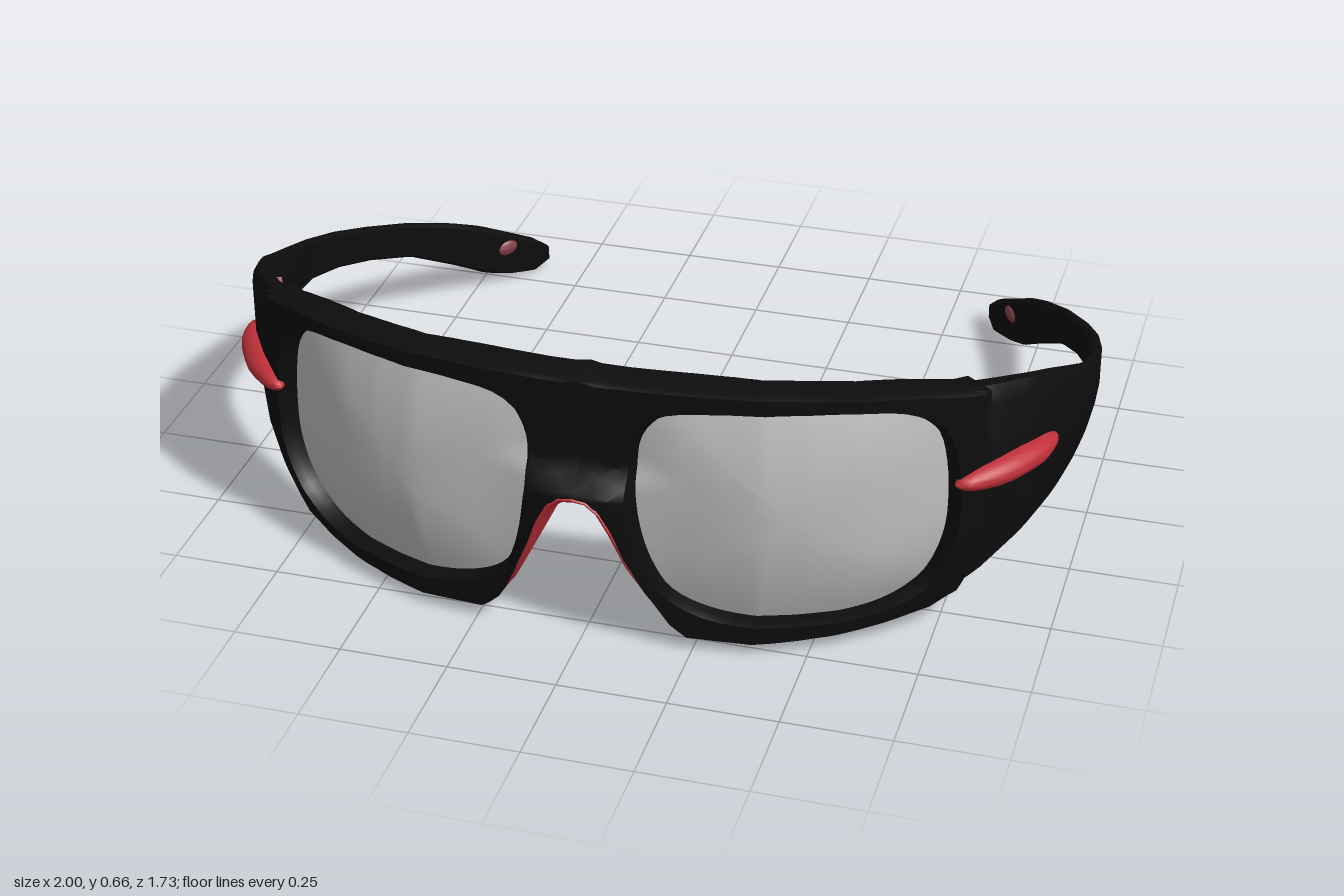
import * as THREE from 'three';
import { toCreasedNormals } from 'three/addons/utils/BufferGeometryUtils.js';

const paint = (name, color, side = THREE.FrontSide) => {
  const m = new THREE.MeshStandardMaterial({ color, side });
  m.name = name;
  return m;
};

// Stations from the bridge round to the ear tip: x, z, top y, bottom y, thickness
const stations = [
  [0, .81, .66, .40, .1], [.045, .81, .66, .385, .1], [.08, .81, .66, .33, .1], [.11, .809, .66, .25, .1],
  [.15, .808, .66, .16, .1], [.2, .805, .66, .07, .1], [.24, .80, .66, .035, .1], [.4, .78, .66, .03, .09],
  [.5, .745, .655, .035, .09], [.6, .70, .645, .04, .09], [.7, .64, .635, .048, .09], [.8, .565, .615, .06, .085],
  [.86, .49, .60, .09, .075], [.92, .39, .575, .155, .06], [.96, .29, .545, .21, .045], [.985, .2, .51, .26, .035],
  [.998, .12, .475, .29, .03], [1, 0, .435, .30, .025], [.995, -.1, .405, .297, .025], [.97, -.22, .37, .272, .025],
  [.93, -.34, .33, .237, .025], [.87, -.47, .285, .19, .025], [.8, -.6, .23, .11, .028], [.75, -.69, .185, .05, .035],
  [.7, -.76, .14, .02, .035], [.65, -.82, .10, .005, .03], [.62, -.862, .06, .02, .02],
];

// Distance along the plan curve at every station
const dist = [0];
for (let i = 1; i < stations.length; i++) {
  const [a, b] = [stations[i - 1], stations[i]];
  dist.push(dist[i - 1] + Math.hypot(b[0] - a[0], b[1] - a[1]));
}
const sEnd = dist[dist.length - 1];
const lerp = THREE.MathUtils.lerp, clamp = THREE.MathUtils.clamp;

function at(s) {
  s = clamp(s, 0, sEnd);
  let i = 1;
  while (i < dist.length - 1 && dist[i] < s) i++;
  const t = (s - dist[i - 1]) / (dist[i] - dist[i - 1]);
  return stations[i].map((v, c) => lerp(stations[i - 1][c], v, t));
}
function findS(test) {
  let s = 0;
  while (s < sEnd && !test(at(s))) s += .001;
  return s;
}
const sOfX = (x) => findS((p) => p[0] >= x);
const sOfZ = (z) => findS((p) => p[1] <= z);

// Wraps (distance along, height, depth inward) round the plan curve
function bend(s, y, d) {
  const [x, z, , , T] = at(s), a = at(s - .04), b = at(s + .04);
  const tx = b[0] - a[0], tz = b[1] - a[1], l = Math.hypot(tx, tz);
  let px = x + tz / l * d;
  let pz = z - tx / l * d;
  if (z > 0) px -= .1 * x * x * clamp((.3 - y) / .25, 0, 1) ** 2;
  // raised rim over the nose
  pz += .055 * Math.exp(-((s / .15) ** 4)) * (1 - THREE.MathUtils.smoothstep(y, .4, .46)) * clamp(1 - d / T, 0, 1);
  return [px, y, pz];
}

function grid(rows, cols, point, closeRows, closeCols) {
  const pos = [], index = [];
  for (let i = 0; i < rows; i++) for (let k = 0; k < cols; k++) pos.push(...point(i, k));
  for (let i = 0; i < rows - (closeRows ? 0 : 1); i++) {
    for (let k = 0; k < cols - (closeCols ? 0 : 1); k++) {
      const i2 = (i + 1) % rows, k2 = (k + 1) % cols;
      const a = i * cols + k, b = i * cols + k2, c = i2 * cols + k2, d = i2 * cols + k;
      index.push(a, b, c, a, c, d);
    }
  }
  const g = new THREE.BufferGeometry();
  g.setAttribute('position', new THREE.Float32BufferAttribute(pos, 3));
  g.setIndex(index);
  return g;
}

// Ellipsoid laid on the wrapped surface
function blob(s, y, d, rs, ry, rd) {
  const g = new THREE.SphereGeometry(1, 24, 16), p = g.attributes.position;
  for (let i = 0; i < p.count; i++) {
    p.setXYZ(i, ...bend(s + p.getX(i) * rs, y + p.getY(i) * ry, d - p.getZ(i) * rd));
  }
  return g;
}

export function createModel() {
  const black = paint('frame black', 0x0d0d0d);
  const silver = paint('lens silver', 0xbebebe, THREE.DoubleSide);
  const red = paint('accent red', 0xc0303a);
  const pink = paint('lining pink', 0xc0747a, THREE.DoubleSide);
  const darkRed = paint('grip dark red', 0x85404a);
  const model = new THREE.Group();
  model.name = 'wraparoundGlasses';

  // Adds a part on the left and its mirror on the right
  function addPair(name, geo, mat, crease = .7) {
    const twin = geo.clone().scale(-1, 1, 1), ix = twin.index.array;
    for (let i = 0; i < ix.length; i += 3) [ix[i], ix[i + 1]] = [ix[i + 1], ix[i]];
    for (const [side, g] of [['left', geo], ['right', twin]]) {
      g.deleteAttribute('normal');
      g.deleteAttribute('uv');
      const mesh = new THREE.Mesh(toCreasedNormals(g, crease), mat);
      mesh.name = side + name;
      model.add(mesh);
    }
  }

  // Lens opening outline, as radius by angle about the lens centre
  const cs = sOfX(.45), cy = .35, s1 = sOfX(.84);
  const outline = [[.12, .42], [.13, .52], [.18, .59], [.28, .61], [.6, .61], [.7, .585], [.76, .52], [.785, .42],
    [.785, .25], [.755, .135], [.68, .09], [.5, .08], [.3, .095], [.2, .14], [.16, .2], [.13, .3]];
  const TAU = Math.PI * 2, angleOf = (s, y) => (Math.atan2(y - cy, s - cs) + TAU) % TAU;
  const polar = new THREE.CatmullRomCurve3(outline.map(([x, y]) => new THREE.Vector3(sOfX(x), y, 0)), true)
    .getPoints(160).slice(1)
    .map((p) => [angleOf(p.x, p.y), Math.hypot(p.x - cs, p.y - cy)]).sort((a, b) => a[0] - b[0]);
  function holeR(a) {
    let i = polar.findIndex((p) => p[0] >= a);
    if (i < 0) i = 0;
    const q = polar[i], p = polar[(i + polar.length - 1) % polar.length];
    const span = (q[0] - p[0] + TAU) % TAU;
    return lerp(p[1], q[1], span ? ((a - p[0] + TAU) % TAU) / span : 0);
  }
  const inside = (s, y) => s >= 0 && s <= s1 && y >= at(s)[3] && y <= at(s)[2];
  function outerR(a) {
    let r = .2;
    while (inside(cs + r * Math.cos(a), cy + r * Math.sin(a))) r += .001;
    return r;
  }
  const edge = at(s1), footS = sOfX(.24);
  const angles = [[0, .66], [0, .4], [s1, edge[2]], [s1, edge[3]], [footS, .035]].map((c) => angleOf(...c));
  for (let i = 0; i < 90; i++) angles.push(i / 90 * TAU);
  angles.sort((a, b) => a - b);
  const rim = angles.map((a) => ({ a, c: Math.cos(a), s: Math.sin(a), h: holeR(a), o: outerR(a) }));

  // Front frame: a bevelled ring round each lens; [across, thickness fraction, bevel]
  const ring = [[0, 0, .02], [.08, 0, 0], [.35, 0, 0], [.65, 0, 0], [.92, 0, 0], [1, 0, .012],
    [1, 1, -.01], [.92, 1, 0], [.65, 1, 0], [.35, 1, 0], [.08, 1, 0], [0, 1, -.01]];
  addPair('FrontFrame', grid(rim.length, ring.length, (i, k) => {
    const e = rim[i], [f, t, bevel] = ring[k], r = lerp(e.h, e.o, f);
    const s = clamp(cs + r * e.c, 0, s1);
    const fade = clamp(Math.min(s, s1 - s) / .03, 0, 1);
    return bend(s, cy + r * e.s, t * at(s)[4] + bevel * fade);
  }, true, true), black);

  // Domed lens
  addPair('Lens', grid(rim.length, 9, (i, k) => {
    const e = rim[i], f = k / 8, r = e.h * 1.01 * f;
    return bend(cs + r * e.c, cy + r * e.s, .045 * f * f);
  }, true, false), silver, 1);

  // Lining on the nose side and bottom of the opening, behind the lens
  const lined = rim.filter((e) => e.a > 2.5 && e.a < 5.3);
  addPair('LensLining', grid(lined.length, 2, (i, k) => {
    const e = lined[i], r = e.h * (k ? 1.03 : .975), s = cs + r * e.c;
    return bend(s, cy + r * e.s, k ? at(s)[4] + .006 : .05);
  }, false, false), pink);

  // Temple arm: rounded section swept to the ear tip; [height, depth]
  const section = [[1, .7], [1, .3], [.93, 0], [.5, 0], [.07, 0], [0, .3], [0, .7], [.07, 1], [.5, 1], [.93, 1]];
  const steps = 60;
  addPair('Temple', grid(steps + 3, section.length, (i, k) => {
    const s = lerp(s1 - .01, sEnd, clamp((i - 1) / steps, 0, 1)), [, , top, bot, T] = at(s);
    const [v, d] = i === 0 || i === steps + 2 ? [.5, .5] : section[k];
    return bend(s, lerp(bot, top, v), d * T);
  }, false, true), black);

  // Nose piece: arch path x, y, with front and back z
  const nose = [[0, .385, .868, .65], [.025, .382, .868, .648], [.05, .36, .866, .64], [.075, .31, .86, .63],
    [.11, .22, .845, .605], [.15, .14, .82, .59], [.2, .06, .77, .578], [.235, .015, .70, .59]];
  const strip = [[0, .06], [0, .5], [0, .94], [.5, 1], [1, .94], [1, .5], [1, .06], [.5, 0]];
  addPair('NosePiece', grid(nose.length + 1, strip.length, (i, k) => {
    const j = Math.min(i, nose.length - 1), [x, y, zf, zb] = nose[j];
    const a = nose[Math.max(j - 1, 0)], b = nose[Math.min(j + 1, nose.length - 1)];
    const tx = b[0] - a[0], ty = j ? b[1] - a[1] : 0, l = Math.hypot(tx, ty);
    const [n, w] = i === nose.length ? [.5, .5] : strip[k];
    return [x - ty / l * n * .024, y + tx / l * n * .024, lerp(zf, zb, w)];
  }, false, true), red);

  // Red flashes on the hinges
  addPair('HingeFlash', blob((sOfZ(.575) + sOfZ(.31)) / 2, .393, .0, .165, .032, .04), red);

  // Pink padded panels inside the temples
  const p0 = sOfX(.79), p1 = sOfZ(.2);
  const panel = new THREE.BoxGeometry(1, 1, 1, 12, 6, 1), pp = panel.attributes.position;
  for (let i = 0; i < pp.count; i++) {
    const s = lerp(p0, p1, pp.getX(i) + .5), [, , top, bot, T] = at(s);
    const y = lerp(bot + .055, top - .055, pp.getY(i) + .5);
    pp.setXYZ(i, ...bend(s, y, T + .003 - pp.getZ(i) * .03));
  }
  addPair('TemplePad', panel, pink);

  // Grip dots through the ear tips
  const tipS = sOfZ(-.75);
  addPair('EarGrip', blob(tipS, .105, at(tipS)[4] / 2, .04, .028, .026), darkRed);

  return model;
}
